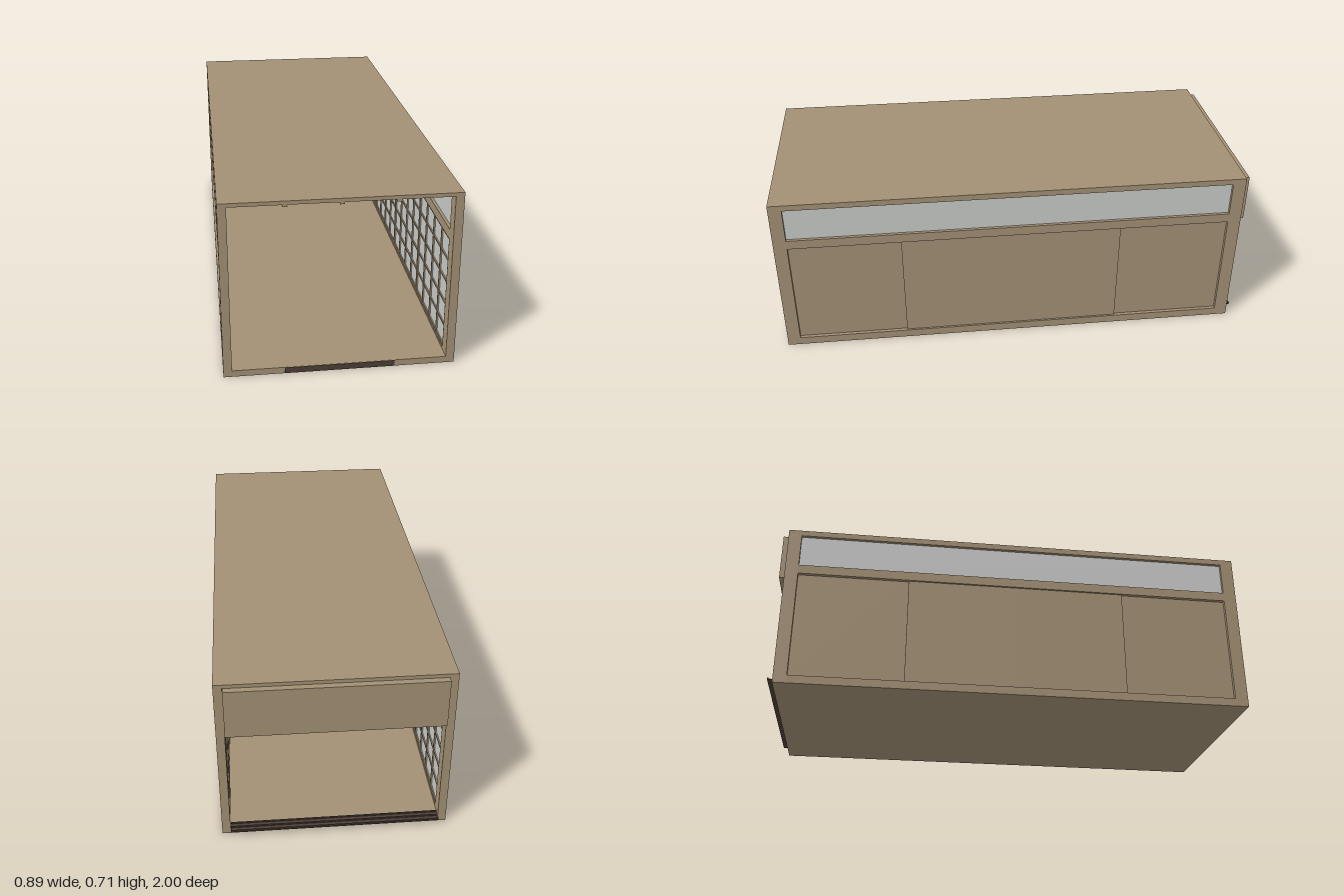
import * as THREE from 'three';

const mat = (name, color) => {
  const m = new THREE.MeshStandardMaterial({ color });
  m.name = name;
  return m;
};

export function createModel() {
  const wood = mat('tan wood', 0xa39074);
  const dark = mat('dark wood', 0x4c3f36);
  const paper = mat('rice paper', 0xc9cbc9);
  const black = mat('black frame', 0x0c0c0c);
  const water = mat('blue water', 0x2d7092);
  const orange = mat('orange fish', 0xe09a30);

  const model = new THREE.Group();
  model.name = 'room';

  // box given by its extents on each axis
  const box = (parent, name, m, x0, x1, y0, y1, z0, z1) => {
    const mesh = new THREE.Mesh(new THREE.BoxGeometry(x1 - x0, y1 - y0, z1 - z0), m);
    mesh.position.set((x0 + x1) / 2, (y0 + y1) / 2, (z0 + z1) / 2);
    mesh.name = name;
    parent.add(mesh);
    return mesh;
  };

  const W = 0.447, IN = 0.414;          // outer and inner half widths
  const ZB = -0.975, ZF = 1;            // back and front of the shell
  const D0 = -0.92, D1 = 0.945;         // extent of the doors
  const FLOOR = 0.026, DOOR0 = 0.035, DOOR1 = 0.505;

  // shell
  box(model, 'floor', wood, -IN, IN, 0, FLOOR, ZB, ZF);
  box(model, 'roof', wood, -W, W, 0.7, 0.715, ZB, ZF);
  box(model, 'frontStep', dark, -0.212, 0.212, 0.001, 0.025, 0.99, 1.002);

  // ceiling lattice
  const ceiling = new THREE.Group();
  ceiling.name = 'ceilingLattice';
  model.add(ceiling);
  for (let i = -1; i <= 1; i++) {
    box(ceiling, 'longBatten', wood, i * 0.207 - 0.009, i * 0.207 + 0.009, 0.692, 0.7, ZB, ZF);
  }
  for (let i = 1; i < 9; i++) {
    const z = ZB + (i * (ZF - ZB)) / 9;
    box(ceiling, 'crossBatten', wood, -IN, IN, 0.693, 0.7, z - 0.009, z + 0.009);
  }

  // side walls, mirrored by the sign of x
  for (const s of [1, -1]) {
    const wall = new THREE.Group();
    wall.name = s > 0 ? 'leftWall' : 'rightWall';
    model.add(wall);
    const part = (name, m, a, b, y0, y1, z0, z1) =>
      box(wall, name, m, Math.min(s * a, s * b), Math.max(s * a, s * b), y0, y1, z0, z1);

    part('frontPost', wood, IN, W, 0, 0.7, D1, ZF);
    part('backPost', wood, IN, W, 0, 0.7, ZB, D0);
    part('sill', wood, IN, W, 0, DOOR0, D0, D1);
    part('middleRail', wood, IN, W, DOOR1, 0.545, D0, D1);
    part('topRail', wood, IN, W, 0.69, 0.7, D0, D1);
    part('upperWindow', paper, 0.426, 0.434, 0.545, 0.69, D0, D1);

    // four sliding doors: solid outside, papered lattice inside
    const w = (D1 - D0) / 4;
    for (let d = 0; d < 4; d++) {
      const z0 = D0 + d * w, z1 = z0 + w;
      const out = d === 1 || d === 2 ? 0.007 : 0;
      part('shutter', wood, 0.425, 0.432 + out, DOOR0, DOOR1, z0, z1);
      part('doorPaper', paper, 0.422, 0.425, DOOR0, DOOR1, z0, z1);
      for (let i = 0; i <= 4; i++) {
        const t = i % 4 ? 0.004 : 0.008;
        const z = z0 + (i * w) / 4;
        part('doorUpright', wood, 0.416, 0.422, DOOR0, DOOR1, Math.max(z - t, z0), Math.min(z + t, z1));
      }
      for (let i = 0; i <= 5; i++) {
        const t = i % 5 ? 0.004 : 0.008;
        const y = DOOR0 + (i * (DOOR1 - DOOR0)) / 5;
        part('doorCrossbar', wood, 0.417, 0.422, Math.max(y - t, DOOR0), Math.min(y + t, DOOR1), z0, z1);
      }
    }
  }

  // board over the back opening, and the dark track below it
  box(model, 'backBoard', wood, -0.413, 0.413, 0.498, 0.7, -1, ZB);
  box(model, 'backTrack', dark, -0.413, 0.413, FLOOR, 0.029, -1, -0.95);
  for (const z of [-0.997, -0.975, -0.953]) {
    box(model, 'trackRib', dark, -0.413, 0.413, 0.029, 0.033, z - 0.003, z + 0.003);
  }

  // fish: a lathed outline, flattened, nose toward -x
  const outline = [[0, -0.5], [0.09, -0.46], [0.15, -0.36], [0.17, -0.22], [0.14, -0.02],
    [0.08, 0.18], [0.03, 0.34], [0.04, 0.38], [0.1, 0.5], [0, 0.43]];
  const fishGeo = new THREE.LatheGeometry(outline.map(([r, y]) => new THREE.Vector2(r, y)), 16);
  fishGeo.rotateZ(-Math.PI / 2);
  fishGeo.scale(1, 1, 0.4);

  // two framed pictures on the inner face of the board
  const picture = (name, x0, x1, fishes) => {
    const g = new THREE.Group();
    g.name = name;
    model.add(g);
    const y0 = 0.522, y1 = 0.675, b = 0.009;
    box(g, 'water', water, x0 + b, x1 - b, y0 + b, y1 - b, ZB, -0.971);
    box(g, 'frameTop', black, x0, x1, y1 - b, y1, ZB, -0.967);
    box(g, 'frameBottom', black, x0, x1, y0, y0 + b, ZB, -0.967);
    box(g, 'frameSide', black, x0, x0 + b, y0 + b, y1 - b, ZB, -0.967);
    box(g, 'frameSide', black, x1 - b, x1, y0 + b, y1 - b, ZB, -0.967);
    for (const [x, y, len, tilt] of fishes) {
      const fish = new THREE.Mesh(fishGeo, orange);
      fish.name = 'fish';
      fish.position.set(x, y, -0.969);
      fish.rotation.z = tilt;
      fish.scale.setScalar(len);
      g.add(fish);
    }
  };
  picture('rightPicture', -0.387, -0.026, [
    [-0.32, 0.637, 0.046, -0.2], [-0.292, 0.612, 0.048, 0], [-0.228, 0.615, 0.056, -0.08],
    [-0.185, 0.587, 0.046, -0.1], [-0.122, 0.605, 0.086, 0]]);
  picture('leftPicture', 0.026, 0.39, [
    [0.069, 0.621, 0.047, -0.15], [0.123, 0.6, 0.05, 0], [0.18, 0.615, 0.062, -0.08],
    [0.224, 0.588, 0.048, -0.1], [0.28, 0.605, 0.062, 0]]);

  return model;
}
